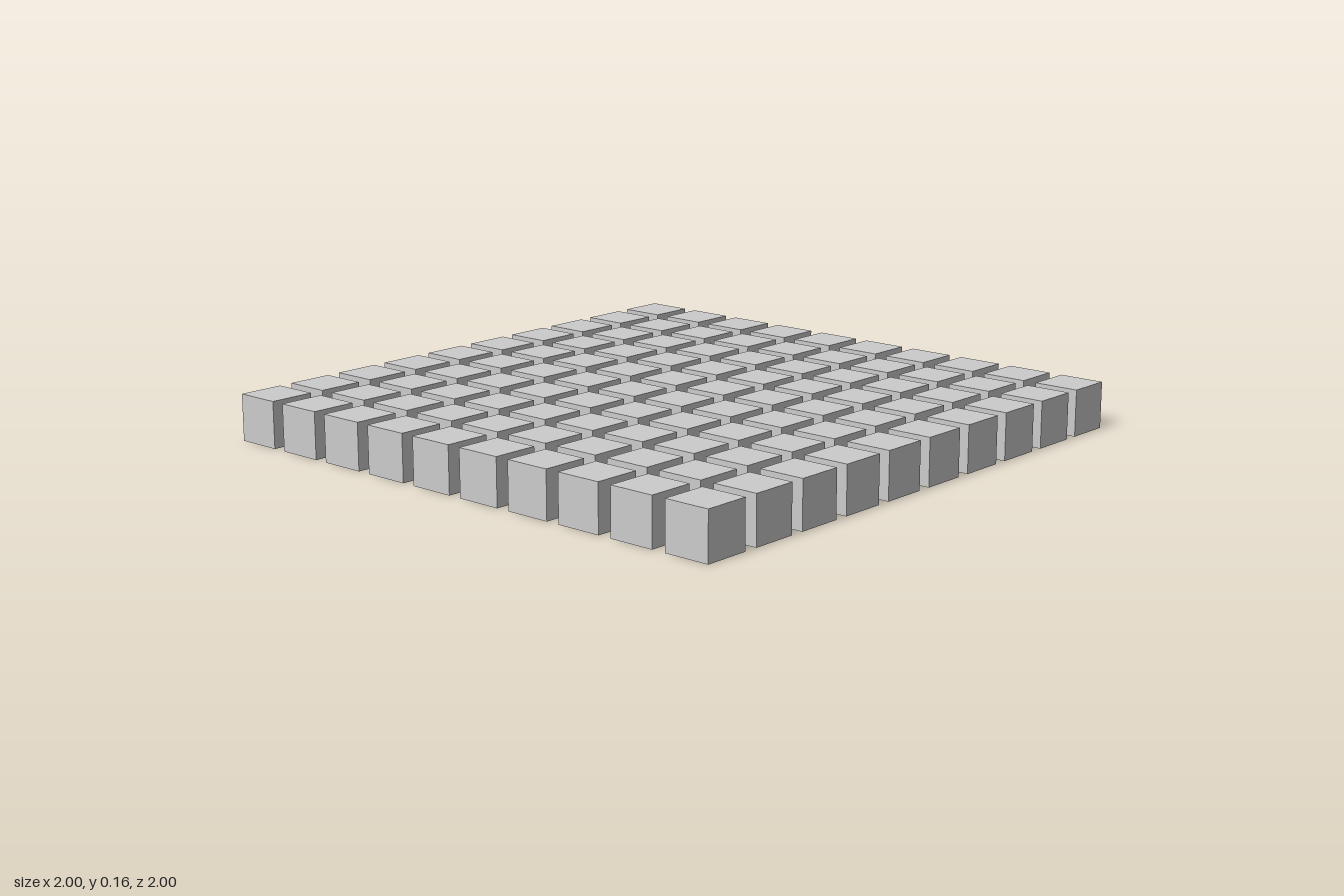
import * as THREE from 'three';

const COUNT = 10;
const SIZE = 2 / 12.7;     // cube edge: ten cubes with gaps of 0.3 edge span 2 units
const PITCH = SIZE * 1.3;

export function createModel() {
  const model = new THREE.Group();
  model.name = 'cubeGrid';
  const material = new THREE.MeshStandardMaterial({ color: 0xcccccc });
  const cubeGeometry = new THREE.BoxGeometry(SIZE, SIZE, SIZE);
  const offset = (i) => (i - (COUNT - 1) / 2) * PITCH;

  // Rows run front to back, each with ten separate cubes
  for (let r = 0; r < COUNT; r++) {
    const row = new THREE.Group();
    row.name = `row${r + 1}`;
    row.position.z = offset(r);
    for (let c = 0; c < COUNT; c++) {
      const cube = new THREE.Mesh(cubeGeometry, material);
      cube.name = `cube${c + 1}`;
      cube.position.set(offset(c), SIZE / 2, 0);
      row.add(cube);
    }
    model.add(row);
  }
  return model;
}
